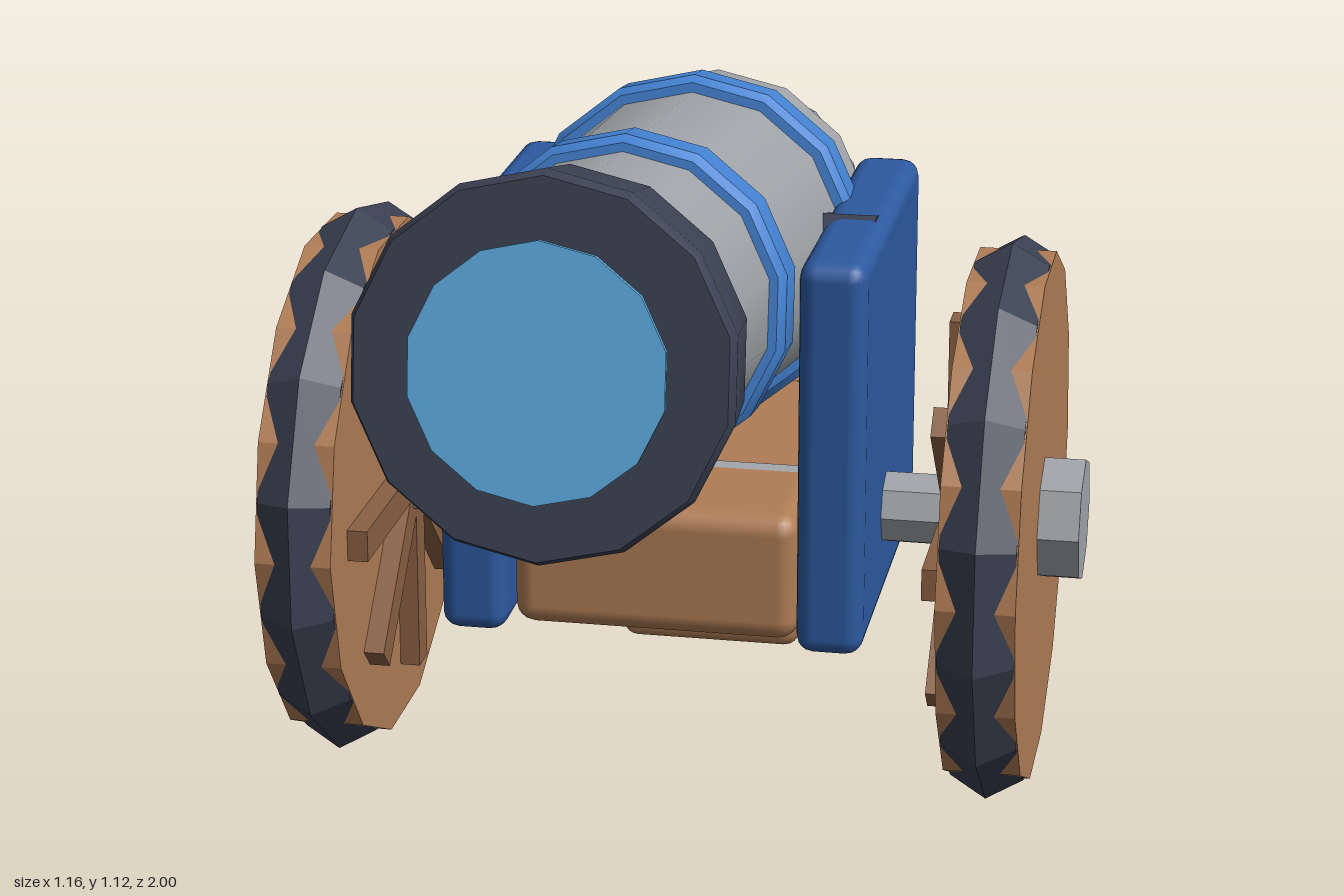
import * as THREE from 'three';
import { toCreasedNormals } from 'three/addons/utils/BufferGeometryUtils.js';
import { RoundedBoxGeometry } from 'three/addons/geometries/RoundedBoxGeometry.js';

const SIDES = 14;
const TILT = 0.14;

function makeMaterial(name, color) {
  const m = new THREE.MeshStandardMaterial({ color });
  m.name = name;
  return m;
}

function addMesh(parent, name, geometry, material, x = 0, y = 0, z = 0) {
  const mesh = new THREE.Mesh(geometry, material);
  mesh.name = name;
  mesh.position.set(x, y, z);
  parent.add(mesh);
  return mesh;
}

// Cylinder along z, from z0 (radius r0) to z1 (radius r1)
function alongZ(r0, r1, z0, z1) {
  return new THREE.CylinderGeometry(r1, r0, z1 - z0, SIDES)
    .rotateX(Math.PI / 2).translate(0, 0, (z0 + z1) / 2);
}

// Turned ring or solid along z from [radius, z] pairs
function turned(pairs) {
  const points = pairs.map(([r, z]) => new THREE.Vector2(r, z));
  return toCreasedNormals(new THREE.LatheGeometry(points, SIDES).rotateX(Math.PI / 2), 0.5);
}

// Faceted cylinder along x
function alongX(radius, length, sides) {
  return toCreasedNormals(
    new THREE.CylinderGeometry(radius, radius, length, sides).rotateZ(Math.PI / 2), 0.2);
}

export function createModel() {
  const wood = makeMaterial('wood', 0xb07d55);
  const darkWood = makeMaterial('darkWood', 0x8a6043);
  const steel = makeMaterial('steel', 0xa0a4a8);
  const iron = makeMaterial('darkIron', 0x3a4152);
  const bandBlue = makeMaterial('bandBlue', 0x4382d2);
  const frameBlue = makeMaterial('frameBlue', 0x2d5aa0);
  const boreBlue = makeMaterial('boreBlue', 0x5dade0);

  const model = new THREE.Group();
  model.name = 'cannon';

  // Barrel assembly, tipped upward at the muzzle
  const barrel = new THREE.Group();
  barrel.name = 'barrelAssembly';
  barrel.position.y = 0.757;
  barrel.rotation.x = -TILT;
  model.add(barrel);
  addMesh(barrel, 'barrel', alongZ(0.234, 0.186, -0.22, 0.85), steel);
  addMesh(barrel, 'breech', new THREE.SphereGeometry(0.226, SIDES, 10).rotateX(Math.PI / 2), steel, 0, 0, -0.235);
  addMesh(barrel, 'breechKnob',
    toCreasedNormals(new THREE.SphereGeometry(0.08, 8, 6), 0.3), steel, 0, 0, -0.508);
  addMesh(barrel, 'muzzleRing', turned([
    [0, 0.806], [0.22, 0.806], [0.228, 0.814], [0.241, 0.95], [0.234, 0.966], [0, 0.966],
  ]), iron);
  addMesh(barrel, 'boreDisc', alongZ(0.16, 0.16, 0.98, 0.988), boreBlue);

  // Reinforcing bands
  for (const [name, z, r] of [['frontBand', 0.443, 0.224], ['rearBand', -0.052, 0.248]]) {
    addMesh(barrel, name, turned([
      [r - 0.04, z - 0.047], [r - 0.01, z - 0.047], [r, z - 0.033],
      [r, z + 0.033], [r - 0.01, z + 0.047], [r - 0.04, z + 0.047],
    ]), bandBlue);
  }

  // Carriage
  addMesh(model, 'trunnion', alongX(0.083, 0.56, 12), iron, 0, 0.756, 0.06);
  addMesh(model, 'carriageBed', new RoundedBoxGeometry(0.406, 0.187, 0.615, 2, 0.03), wood, 0, 0.362, -0.047);
  addMesh(model, 'axle', alongX(0.053, 0.9, 8), steel, 0, 0.408, 0.058);
  const trail = addMesh(model, 'trailBeam',
    new RoundedBoxGeometry(0.274, 0.11, 0.8, 2, 0.025), wood, 0, 0.216, -0.56);
  trail.rotation.x = 0.235;
  addMesh(model, 'trailFoot', new RoundedBoxGeometry(0.334, 0.086, 0.126, 2, 0.025), iron, 0, 0.097, -0.937);

  // Cheek panels and wheels on both sides
  for (const [side, s] of [['left', 1], ['right', -1]]) {
    addMesh(model, side + 'CheekPanel',
      new RoundedBoxGeometry(0.094, 0.567, 0.57, 2, 0.025), frameBlue, s * 0.252, 0.552, 0.012);

    const wheel = new THREE.Group();
    wheel.name = side + 'Wheel';
    wheel.position.set(s * 0.47, 0.407, 0.058);
    model.add(wheel);
    const tyre = new THREE.TorusGeometry(0.3425, 0.06, 6, SIDES)
      .rotateZ(Math.PI / 2).rotateY(Math.PI / 2);
    addMesh(wheel, 'tyre', toCreasedNormals(tyre, 0.1), iron);
    addMesh(wheel, 'wheelDisc', alongX(0.378, 0.108, SIDES), wood);
    addMesh(wheel, 'hub', alongX(0.09, 0.08, 8), steel, s * 0.072);

    // Spokes on the inner face
    for (let i = 0; i < 8; i++) {
      const spoke = new THREE.BoxGeometry(0.05, 0.27, 0.045)
        .translate(0, 0.155, 0).rotateX(i * Math.PI / 4);
      addMesh(wheel, 'spoke', spoke, darkWood, -s * 0.058);
    }
  }
  return model;
}
